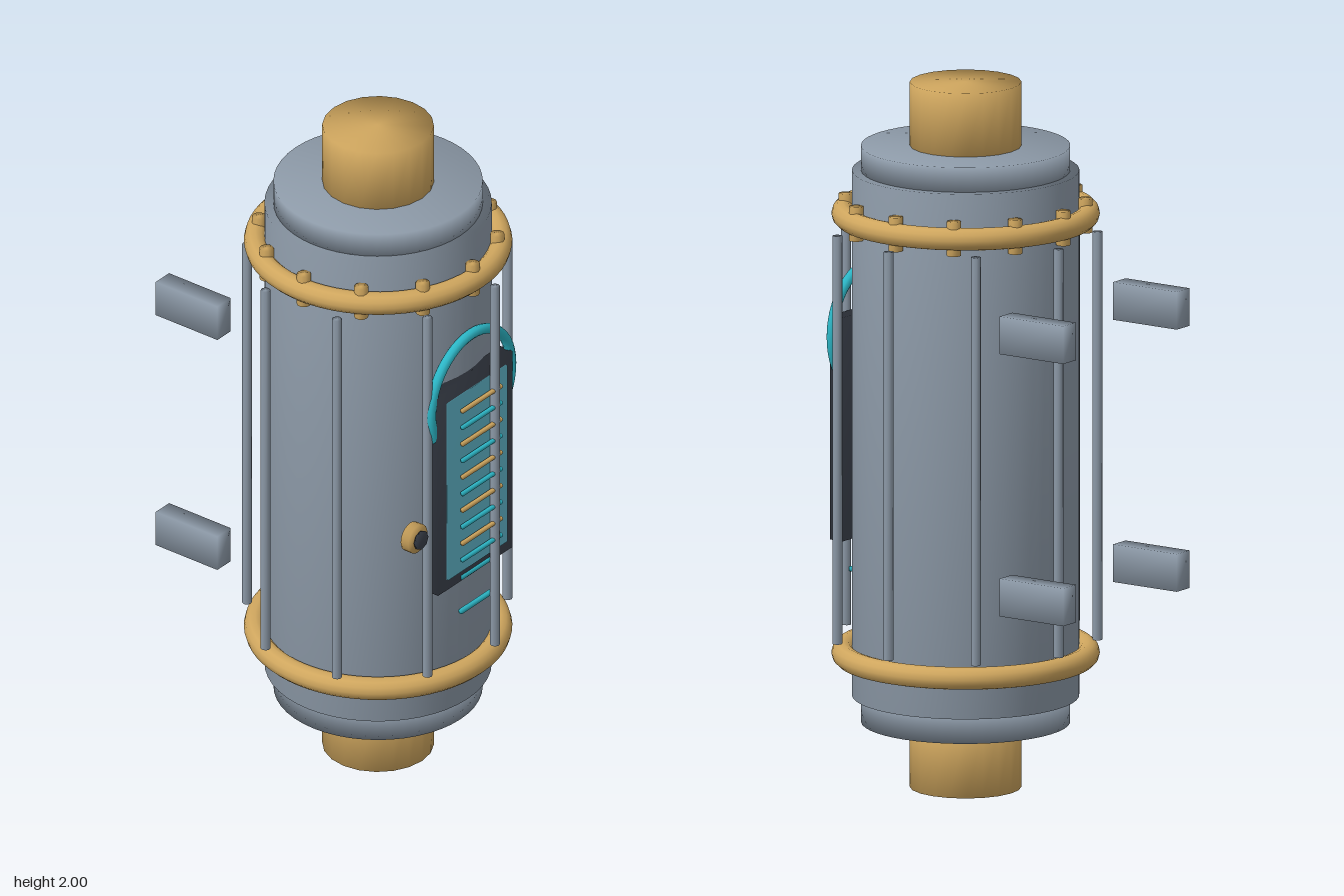
import * as THREE from 'three';
import { mergeVertices } from 'three/addons/utils/BufferGeometryUtils.js';

const CX = -0.007, CZ = 0.083; // vessel axis

export function createModel() {
  const model = new THREE.Group();
  model.name = 'pressureVessel';

  const mat = (name, color) => {
    const m = new THREE.MeshStandardMaterial({ color });
    m.name = name;
    return m;
  };
  const steel = mat('steel', 0x8c99a7);
  const brass = mat('brass', 0xcfa65e);
  const dark = mat('darkMetal', 0x3c424d);
  const glass = mat('glass', 0x62b9ce);
  const teal = mat('teal', 0x2cb6c6);

  // Share corner vertices so shading runs softly over every edge
  const soften = (geo) => {
    geo.deleteAttribute('normal');
    geo.deleteAttribute('uv');
    const g = mergeVertices(geo, 1e-4);
    g.computeVertexNormals();
    return g;
  };
  const add = (name, geo, material, x, y, z) => {
    const mesh = new THREE.Mesh(geo, material);
    mesh.name = name;
    mesh.position.set(x, y, z);
    model.add(mesh);
    return mesh;
  };
  const drum = (name, r, y0, y1, sides, material, x = CX, z = CZ) =>
    add(name, soften(new THREE.CylinderGeometry(r, r, y1 - y0, sides)), material, x, (y0 + y1) / 2, z);
  const box = (name, w, h, d, material, x, y, z) =>
    add(name, soften(new THREE.BoxGeometry(w, h, d)), material, x, y, z);

  // Vessel body, end caps and pipes
  drum('body', 0.315, 0.26, 1.75, 48, steel);
  drum('topCap', 0.29, 1.74, 1.82, 48, steel);
  drum('bottomCap', 0.29, 0.185, 0.27, 48, steel);
  drum('topPipe', 0.155, 1.81, 2, 20, brass);
  drum('bottomPipe', 0.155, 0, 0.195, 20, brass);

  // Flange rings
  for (const [name, y] of [['topRing', 1.628], ['bottomRing', 0.382]]) {
    add(name, new THREE.TorusGeometry(0.34, 0.032, 12, 64), brass, CX, y, CZ).rotation.x = Math.PI / 2;
  }

  // Bolts through the top ring
  for (let i = 0; i < 12; i++) {
    const a = (i * Math.PI) / 6;
    drum('bolt', 0.02, 1.58, 1.677, 10, brass, CX + 0.333 * Math.cos(a), CZ + 0.333 * Math.sin(a));
  }

  // Nine guard rods around the body
  for (let i = 0; i < 9; i++) {
    const a = (i * 2 * Math.PI) / 9;
    drum('guardRod', 0.014, 0.425, 1.583, 8, steel, CX + 0.367 * Math.cos(a), CZ + 0.367 * Math.sin(a));
  }

  // Wall brackets at the back
  for (const side of [-1, 1]) {
    for (const y of [0.633, 1.377]) {
      box('wallBracket', 0.06, 0.107, 0.217, steel, CX + side * 0.27, y, -0.356);
    }
  }

  // Gauge window with a loop behind it
  box('windowFrame', 0.333, 0.635, 0.043, dark, -0.011, 1.003, 0.4065);
  box('windowGlass', 0.265, 0.57, 0.008, glass, -0.007, 1.005, 0.43);
  add('gaugeLoop', new THREE.TorusGeometry(0.18, 0.015, 10, 48), teal, CX, 1.265, 0.41);

  // Scale marks, alternating brass and teal
  const mark = (r, length, material, y, z) => {
    const m = add('scaleMark', soften(new THREE.CylinderGeometry(r, r, length, 8)), material, CX, y, z);
    m.rotation.z = Math.PI / 2;
  };
  for (let i = 0; i < 10; i++) {
    mark(0.007, 0.175, i % 2 ? teal : brass, 1.25 - i * 0.0535, 0.447);
  }
  for (const y of [0.695, 0.585]) mark(0.008, 0.135, teal, y, 0.426);

  // Side valve knob
  const knob = (name, r, depth, sides, material, z) => {
    add(name, soften(new THREE.CylinderGeometry(r, r, depth, sides)), material, -0.258, 0.905, z).rotation.x = Math.PI / 2;
  };
  knob('valveKnob', 0.043, 0.027, 20, brass, 0.4065);
  knob('valveCentre', 0.028, 0.008, 8, dark, 0.431);

  return model;
}
